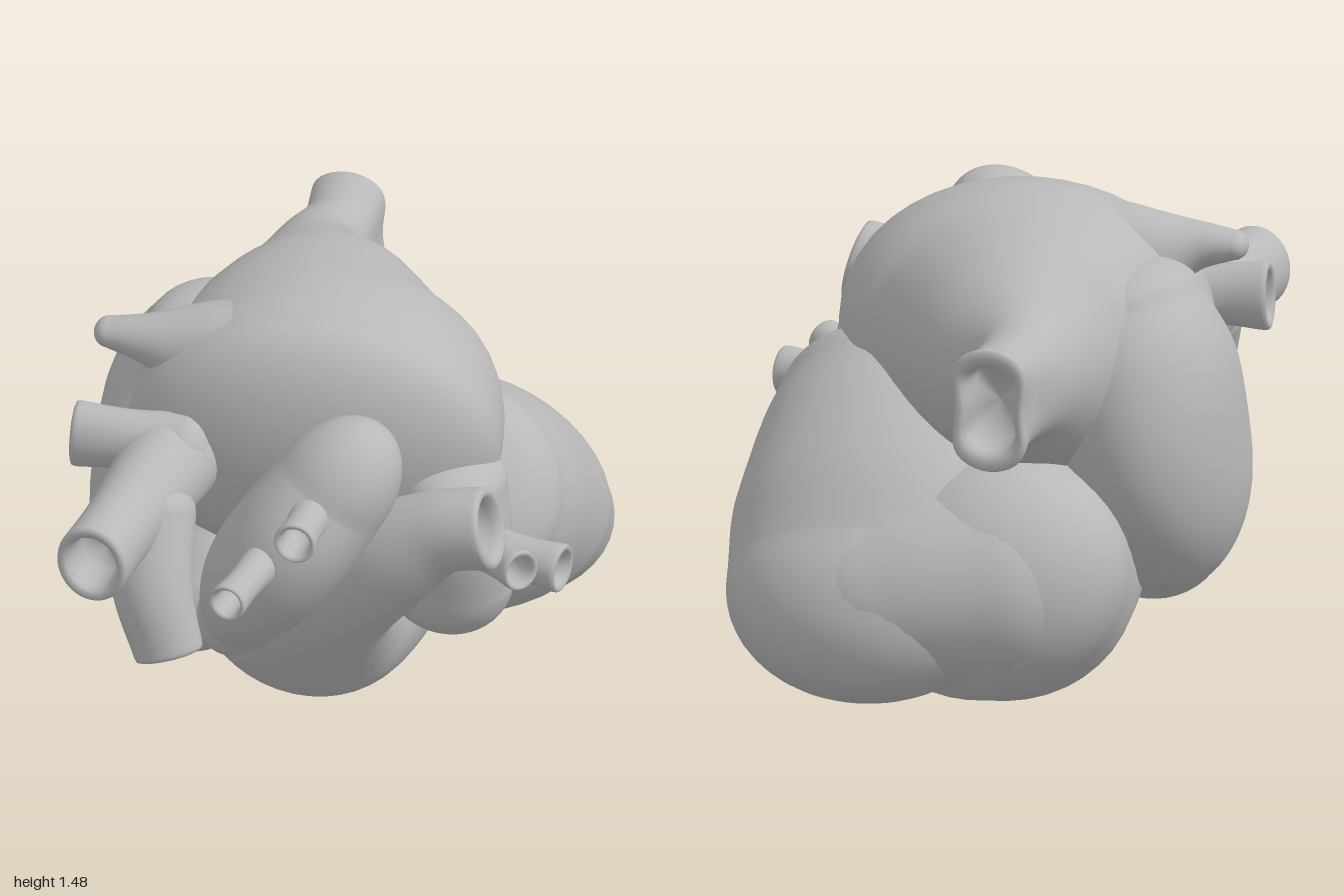
import * as THREE from 'three';

const SEG = 44;

// Smooth tube or lobe through stations [x, y, z, halfWidth, halfHeight, pinch].
// side: direction of halfWidth; start / end: dome lengths; open: hollow mouth at the end.
function loft(stations, { side = [1, 0, 0], start = 0.1, end = 0.1, open = false, steps = 36 } = {}) {
  const curve = (f) => new THREE.CatmullRomCurve3(stations.map(f), false, 'catmullrom', 0.5);
  const path = curve((s) => new THREE.Vector3(s[0], s[1], s[2]));
  const size = curve((s) => new THREE.Vector3(s[3], s[4], s[5] ?? 0));
  const pos = [], index = [];

  const ring = (t, scale, shift) => {
    const dir = path.getTangent(t);
    const s = new THREE.Vector3(...side);
    s.addScaledVector(dir, -s.dot(dir)).normalize();
    const n = dir.clone().cross(s);
    const c = path.getPoint(t).addScaledVector(dir, shift);
    const r = size.getPoint(t);
    for (let j = 0; j < SEG; j++) {
      const a = (j / SEG) * Math.PI * 2;
      const waist = 1 - r.z * Math.cos(a) ** 4;
      const p = c.clone()
        .addScaledVector(s, r.x * scale * Math.cos(a) * waist)
        .addScaledVector(n, r.y * scale * Math.sin(a));
      pos.push(p.x, p.y, p.z);
    }
  };
  const dome = (k) => [Math.max(Math.cos(k * Math.PI / 2), 0.002), Math.sin(k * Math.PI / 2)];

  for (let i = 14; i > 0; i--) {
    const [r, d] = dome(i / 14);
    ring(0, r, -d * start);
  }
  for (let i = 0; i <= steps; i++) ring(i / steps, 1, 0);
  if (open) {
    // rounded lip, inner wall and floor
    for (const [r, d] of [[0.97, 0.01], [0.86, 0.014], [0.74, 0.006], [0.68, -0.02], [0.62, -0.1], [0.002, -0.12]]) ring(1, r, d);
  } else {
    for (let i = 1; i <= 14; i++) {
      const [r, d] = dome(i / 14);
      ring(1, r, d * end);
    }
  }

  const rows = pos.length / 3 / SEG;
  for (let i = 0; i < rows - 1; i++) {
    for (let j = 0; j < SEG; j++) {
      const k = (j + 1) % SEG;
      const a = i * SEG + j, b = i * SEG + k;
      index.push(a, b, a + SEG, b, b + SEG, a + SEG);
    }
  }
  const g = new THREE.BufferGeometry();
  g.setAttribute('position', new THREE.Float32BufferAttribute(pos, 3));
  g.setIndex(index);
  g.computeVertexNormals();
  return g;
}

export function createModel() {
  const group = new THREE.Group();
  const grey = new THREE.MeshStandardMaterial({ color: 0xb8b8b8 });
  grey.name = 'plain grey';
  const add = (name, stations, options) => {
    const mesh = new THREE.Mesh(loft(stations, options), grey);
    mesh.name = name;
    group.add(mesh);
  };

  // Lower chambers; the right one sweeps up into the open outflow trunk
  add('leftVentricle', [
    [0.30, 0.78, -0.12, 0.36, 0.34],
    [0.28, 0.67, -0.28, 0.41, 0.36],
    [0.24, 0.54, -0.47, 0.455, 0.345],
    [0.22, 0.40, -0.65, 0.44, 0.295],
  ], { start: 0.2, end: 0.37 });
  add('rightVentricleAndTrunk', [
    [-0.12, 0.43, -0.55, 0.42, 0.36],
    [-0.11, 0.38, -0.30, 0.38, 0.38],
    [-0.10, 0.39, -0.05, 0.35, 0.31],
    [-0.04, 0.49, 0.14, 0.29, 0.23],
    [0.09, 0.67, 0.33, 0.21, 0.17],
    [0.28, 0.87, 0.42, 0.17, 0.15],
    [0.45, 1.00, 0.44, 0.13, 0.12],
    [0.60, 1.04, 0.44, 0.125, 0.12],
  ], { side: [1, -0.4, 0], start: 0.33, open: true, steps: 60 });
  // Rear wall joining the two ventricles
  add('rearWall', [
    [-0.14, 0.43, -0.56, 0.34, 0.32],
    [0.04, 0.41, -0.60, 0.35, 0.315],
    [0.20, 0.38, -0.63, 0.35, 0.30],
  ], { side: [0, 0, 1], start: 0.32, end: 0.32 });

  // Upper chamber narrowing into the rear vessel, with a pinched mouth
  add('upperChamber', [
    [-0.04, 1.03, 0.08, 0.56, 0.43],
    [-0.06, 1.045, -0.05, 0.545, 0.44],
    [-0.12, 1.06, -0.22, 0.475, 0.41],
    [-0.18, 1.08, -0.45, 0.34, 0.33],
    [-0.25, 1.10, -0.68, 0.17, 0.20],
    [-0.24, 1.09, -0.84, 0.14, 0.17, 0.2],
    [-0.24, 1.09, -0.965, 0.165, 0.19, 0.36],
  ], { start: 0.23, open: true, steps: 54 });
  add('upperSpur', [
    [-0.22, 1.23, 0.05, 0.20, 0.22],
    [-0.40, 1.27, 0.08, 0.14, 0.15],
    [-0.54, 1.30, 0.11, 0.08, 0.08],
    [-0.66, 1.31, 0.12, 0.055, 0.045],
  ], { side: [0, 0, 1], end: 0.045 });

  // Side lobes
  add('rightAtrium', [
    [-0.38, 1.14, -0.10, 0.25, 0.28],
    [-0.45, 0.97, -0.13, 0.28, 0.36],
    [-0.50, 0.76, -0.12, 0.26, 0.38],
    [-0.50, 0.58, -0.05, 0.25, 0.32],
    [-0.42, 0.43, 0.06, 0.23, 0.22],
  ], { start: 0.16, end: 0.2 });
  add('leftAuricle', [
    [0.39, 0.95, 0.08, 0.16, 0.18],
    [0.39, 0.78, 0.09, 0.18, 0.17],
    [0.37, 0.62, 0.07, 0.20, 0.16],
  ], { end: 0.2 });

  // Front arch
  add('archLobe', [
    [-0.14, 0.66, 0.46, 0.13, 0.17],
    [-0.06, 0.82, 0.53, 0.18, 0.22],
    [0.04, 0.98, 0.55, 0.19, 0.23],
    [0.14, 1.13, 0.50, 0.18, 0.19],
  ], { side: [1, -0.7, 0], start: 0.17, end: 0.25 });

  // Branched vessel on the -x side
  add('branchedVessel', [
    [-0.40, 1.03, 0.22, 0.15, 0.15],
    [-0.43, 1.01, 0.42, 0.135, 0.145],
    [-0.47, 0.99, 0.68, 0.11, 0.125],
    [-0.49, 0.99, 0.88, 0.11, 0.125],
  ], { open: true });
  add('sideBranch', [
    [-0.39, 1.05, 0.31, 0.12, 0.13],
    [-0.54, 1.08, 0.33, 0.085, 0.095],
    [-0.69, 1.085, 0.345, 0.08, 0.105],
  ], { side: [0, 0, 1], open: true });
  add('downBranch', [
    [-0.42, 0.96, 0.52, 0.14, 0.14],
    [-0.375, 0.78, 0.64, 0.12, 0.11],
    [-0.31, 0.60, 0.69, 0.105, 0.09],
  ], { open: true });

  // Small open tubes: name, from, to, radius
  const tubes = [
    ['archTubeLow', [0.0, 0.99, 0.68], [-0.04, 1.0, 0.985], 0.058],
    ['archTubeHigh', [0.12, 1.13, 0.58], [0.125, 1.15, 0.84], 0.064],
    ['auricleTubeFront', [0.42, 0.78, 0.12], [0.66, 0.825, 0.31], 0.062],
    ['auricleTubeSide', [0.42, 0.77, 0.12], [0.745, 0.765, 0.175], 0.074],
  ];
  for (const [name, a, b, r] of tubes) {
    const mid = a.map((v, i) => v + (b[i] - v) * 0.6);
    add(name, [[...a, r * 1.1, r * 1.1], [...mid, r * 0.9, r * 0.9], [...b, r, r]],
      { side: [0, 1, 0], start: 0.03, open: true, steps: 12 });
  }
  return group;
}
